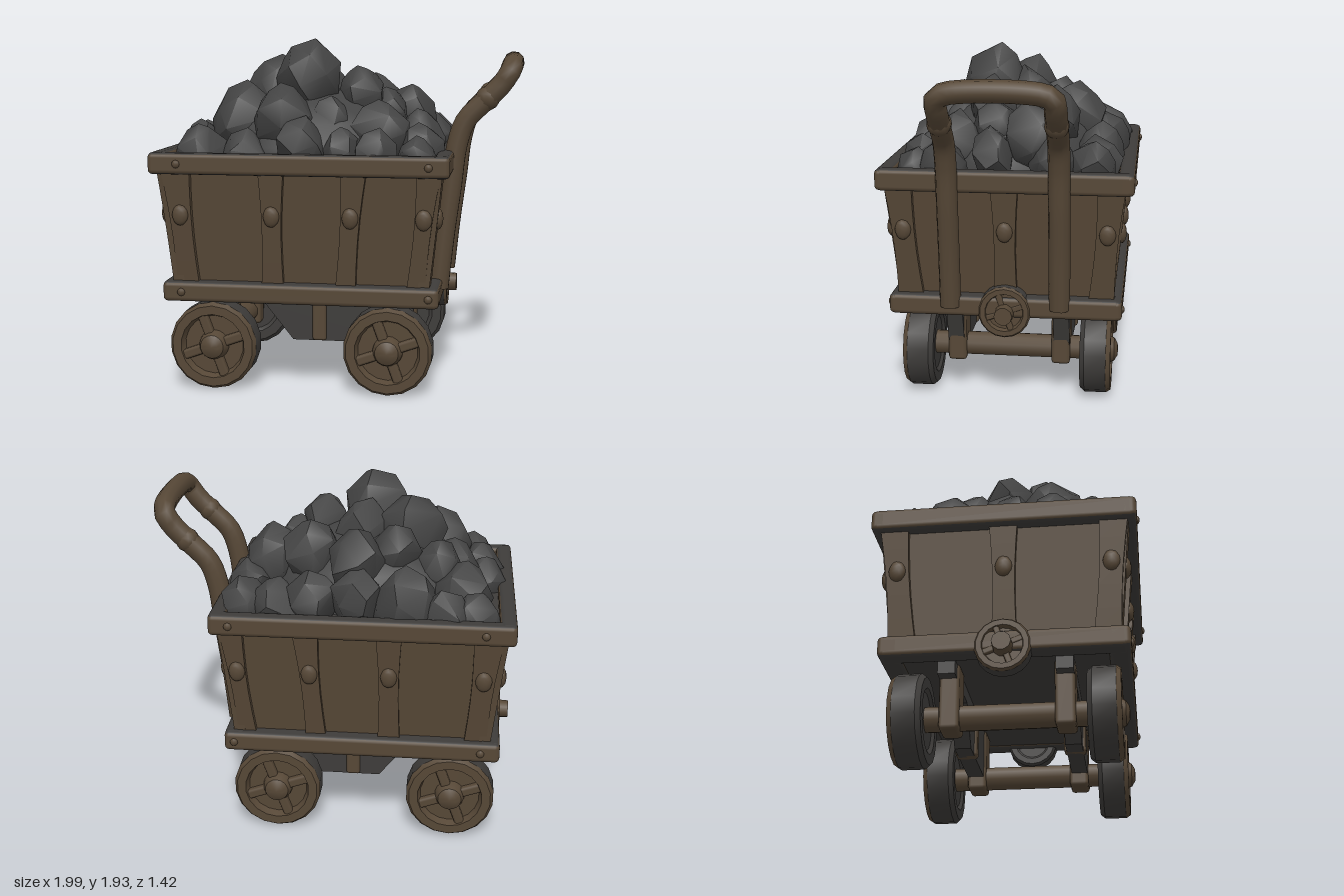
import * as THREE from 'three';
import { toCreasedNormals } from 'three/addons/utils/BufferGeometryUtils.js';
import { RoundedBoxGeometry } from 'three/addons/geometries/RoundedBoxGeometry.js';
import { ConvexGeometry } from 'three/addons/geometries/ConvexGeometry.js';

const CX = -0.175; // middle of the cart body along x
const lerp = THREE.MathUtils.lerp;

export function createModel() {
  const mat = (name, color) => {
    const m = new THREE.MeshStandardMaterial({ color });
    m.name = name;
    return m;
  };
  const wood = mat('brown wood', 0x564736);
  const grime = mat('sooty wood', 0x3e3c3a);
  const coal = mat('coal', 0x434343);

  let seed = 11;
  const rnd = () => (seed = (seed * 16807) % 2147483647) / 2147483647;

  const model = new THREE.Group();
  model.name = 'coalCart';
  const add = (parent, name, geo, material, x = 0, y = 0, z = 0) => {
    const mesh = new THREE.Mesh(geo, material);
    mesh.name = name;
    mesh.position.set(x, y, z);
    parent.add(mesh);
    return mesh;
  };
  const sooty = [wood, wood, grime, grime, wood, wood];

  // Tapered tub filled to just below the rim
  const tub = new THREE.BoxGeometry(1, 1, 1);
  const tp = tub.attributes.position;
  for (let i = 0; i < tp.count; i++) {
    const t = tp.getY(i) + 0.5;
    tp.setXYZ(i, tp.getX(i) * lerp(1.34, 1.48, t), lerp(0.58, 1.275, t), tp.getZ(i) * lerp(1.12, 1.24, t));
  }
  tub.computeVertexNormals();
  add(model, 'tub', tub, sooty, CX);

  // Upright staves leaning with each wall, with a knobby peg on each
  function stave(wall, out0, out1, u0, u1, w0, w1, thick) {
    const g = new THREE.BoxGeometry(1, 1, 1, 1, 5, 1);
    const p = g.attributes.position;
    for (let i = 0; i < p.count; i++) {
      const t = p.getY(i) + 0.5;
      const w = lerp(w0, w1, t) - 0.025 * Math.sin(t * Math.PI);
      const d = p.getZ(i) > 0 ? thick : -0.03;
      p.setXYZ(i, lerp(u0, u1, t) + p.getX(i) * w, lerp(0.6, 1.24, t), lerp(out0, out1, t) + d);
    }
    g.computeVertexNormals();
    add(wall, 'stave', g, wood);
    const t = 0.6;
    const peg = add(wall, 'peg', new THREE.DodecahedronGeometry(0.045, 1), wood,
      lerp(u0, u1, t), 0.985, lerp(out0, out1, t) + thick);
    peg.scale.set(1, 1.3, 0.6);
  }
  for (let k = 0; k < 4; k++) {
    const wall = new THREE.Group();
    wall.name = 'wall';
    wall.position.x = CX;
    wall.rotation.y = k * Math.PI / 2;
    model.add(wall);
    if (k % 2 === 0) {
      const s = k === 0 ? 1 : -1;
      for (const [u0, u1, w0, w1] of [[-0.62, -0.67, 0.12, 0.16], [-0.15, -0.145, 0.12, 0.14],
        [0.25, 0.3, 0.11, 0.14], [0.63, 0.7, 0.1, 0.13]])
        stave(wall, 0.56, 0.62, s * u0, s * u1, w0, w1, 0.032);
    } else {
      for (const s of [-1, 1]) stave(wall, 0.67, 0.74, s * 0.525, s * 0.575, 0.14, 0.15, 0.032);
      stave(wall, 0.67, 0.74, 0, 0, 0.13, 0.15, 0.03);
    }
  }

  // Rectangles of rounded beams: top rim and lower frame
  function beams(name, hx, hz, y, h, w) {
    for (const s of [-1, 1]) {
      add(model, name + 'Side', new RoundedBoxGeometry(hx * 2, h, w, 2, 0.025), sooty, CX, y, s * (hz - w / 2));
      add(model, name + 'End', new RoundedBoxGeometry(w, h * 1.04, hz * 2 - 0.02, 2, 0.025), sooty,
        CX + s * (hx - w / 2), y, 0);
      // nail heads near the corners
      for (const u of [-0.65, 0.7]) {
        const nail = add(model, 'nail', new THREE.SphereGeometry(0.022, 8, 6), wood, CX + u, y, s * hz);
        nail.scale.z = 0.6;
      }
    }
  }
  beams('rim', 0.81, 0.695, 1.268, 0.115, 0.09);
  beams('frame', 0.755, 0.64, 0.56, 0.11, 0.12);
  add(model, 'floor', new THREE.BoxGeometry(1.4, 0.07, 1.16), grime, CX, 0.55, 0);

  // Undercarriage: a drop beam, strut and axle hangers on each side
  const drop = new THREE.Shape([[-0.82, 0.52], [-0.82, 0.44], [-0.42, 0.44], [-0.26, 0.24], [0.36, 0.24], [0.45, 0.52]]
    .map(([x, y]) => new THREE.Vector2(x, y)));
  for (const s of [-1, 1]) {
    add(model, 'dropBeam', new THREE.ExtrudeGeometry(drop, { depth: 0.09, bevelEnabled: false }), grime, 0, 0, s * 0.3 - 0.045);
    add(model, 'strut', new RoundedBoxGeometry(0.08, 0.28, 0.12, 1, 0.015), wood, -0.11, 0.38, s * 0.3);
    for (const x of [-0.67, 0.3])
      add(model, 'axleHanger', new RoundedBoxGeometry(0.17, 0.36, 0.105, 1, 0.02), wood, x, 0.35, s * 0.295);
  }

  // Wheel facing +z: sooty tread, recessed wooden face, spokes and domed hub
  const lathe = (pts) => toCreasedNormals(
    new THREE.LatheGeometry(pts.map(([r, y]) => new THREE.Vector2(r, y)), 18).rotateX(Math.PI / 2), 0.5);
  const tread = lathe([[0, -0.07], [0.15, -0.07], [0.17, -0.085], [0.225, -0.085], [0.245, -0.06], [0.245, 0.06]]);
  const face = lathe([[0.245, 0.06], [0.228, 0.085], [0.18, 0.085], [0.165, 0.04], [0, 0.04]]);
  const hub = lathe([[0.085, 0.03], [0.08, 0.065], [0.065, 0.1], [0.035, 0.118], [0, 0.122]]);
  const spoke = new RoundedBoxGeometry(0.14, 0.055, 0.06, 1, 0.015);
  function wheel(name) {
    const g = new THREE.Group();
    g.name = name;
    add(g, 'tread', tread, grime);
    add(g, 'wheelFace', face, wood);
    add(g, 'hub', hub, wood);
    for (let i = 0; i < 4; i++) {
      const a = 0.35 + i * Math.PI / 2;
      add(g, 'spoke', spoke, wood, Math.cos(a) * 0.12, Math.sin(a) * 0.12, 0.045).rotation.z = a;
    }
    model.add(g);
    return g;
  }
  for (const x of [-0.67, 0.3]) {
    const axle = add(model, 'axle', new THREE.CylinderGeometry(0.068, 0.068, 0.9, 10), wood, x, 0.25, 0);
    axle.rotation.x = Math.PI / 2;
    for (const s of [-1, 1]) {
      const w = wheel('wheel');
      w.position.set(x, 0.245, s * 0.495);
      if (s < 0) w.rotation.y = Math.PI;
    }
  }

  // Round buffers on both ends
  for (const s of [-1, 1]) {
    const b = wheel('buffer');
    b.scale.setScalar(0.59);
    b.position.set(CX + s * 0.715, 0.535, 0);
    b.rotation.y = s * Math.PI / 2;
    const knob = add(model, 'bufferKnob', new THREE.CylinderGeometry(0.05, 0.055, 0.1, 10), wood, CX + s * 0.765, 0.53, 0);
    knob.rotation.z = -s * Math.PI / 2;
  }

  // Push handle: one bent bar from the frame up and across
  const leg = [[0.555, 0.56], [0.585, 0.85], [0.62, 1.12], [0.65, 1.36], [0.695, 1.49], [0.79, 1.59], [0.88, 1.68]];
  const half = (s) => [...leg.map(([x, y]) => new THREE.Vector3(x, y, s * 0.3)),
    new THREE.Vector3(0.93, 1.755, s * 0.295), new THREE.Vector3(0.94, 1.785, s * 0.24)];
  const path = new THREE.CatmullRomCurve3([...half(1), ...half(-1).reverse()], false, 'centripetal');
  add(model, 'handle', new THREE.TubeGeometry(path, 72, 0.059, 10), wood);
  for (const s of [-1, 1]) // knuckles where the handle bends
    add(model, 'handleKnuckle', new THREE.SphereGeometry(0.066, 10, 8), wood, 0.81, 1.61, s * 0.3);

  // Coal heap: hidden core and lumps given as x, z, radius, top height
  const core = add(model, 'coalCore', new THREE.SphereGeometry(1, 16, 10), coal, CX, 1.2, 0.02);
  core.scale.set(0.64, 0.46, 0.54);
  const lumps = [
    [-0.76, -0.5, 0.14, 1.44], [-0.62, -0.53, 0.13, 1.46], [-0.4, -0.5, 0.17, 1.56], [-0.7, -0.3, 0.17, 1.54],
    [-0.82, 0.03, 0.12, 1.46], [-0.63, -0.02, 0.14, 1.58], [-0.4, -0.04, 0.18, 1.84], [-0.33, -0.23, 0.13, 1.72],
    [-0.14, -0.06, 0.16, 1.8], [-0.12, -0.33, 0.17, 1.72], [0.13, -0.22, 0.16, 1.73], [0.1, -0.49, 0.14, 1.53],
    [0.3, -0.49, 0.13, 1.48], [0.47, -0.47, 0.13, 1.48], [0.47, -0.25, 0.12, 1.5], [0.36, -0.13, 0.16, 1.67],
    [0.1, 0.12, 0.14, 1.78], [-0.19, 0.14, 0.19, 1.93], [-0.55, 0.22, 0.19, 1.7], [-0.79, 0.25, 0.13, 1.48],
    [-0.74, 0.45, 0.15, 1.47], [-0.5, 0.46, 0.14, 1.45], [-0.3, 0.37, 0.17, 1.69], [-0.18, 0.5, 0.14, 1.52],
    [-0.05, 0.31, 0.12, 1.62], [0.04, 0.47, 0.12, 1.46], [0.22, 0.3, 0.17, 1.6], [0.43, 0.08, 0.13, 1.54],
    [0.45, 0.35, 0.14, 1.48], [0.22, 0.5, 0.12, 1.46], [-0.14, -0.51, 0.14, 1.55], [0.45, 0.5, 0.1, 1.42],
    [0.24, 0.08, 0.13, 1.66], [-0.56, -0.2, 0.14, 1.63]];
  for (const [x, z, r, top] of lumps) {
    const pts = [new THREE.Vector3((rnd() - 0.5) * r * 0.6, r * 1.22, (rnd() - 0.5) * r * 0.6)];
    for (let i = 0; i < 20; i++) { // jittered spiral of hull points
      const y = 1 - (2 * i + 1) / 20, a = i * 2.4 + rnd() * 0.8, q = Math.sqrt(1 - y * y);
      const k = 0.92 + rnd() * 0.24;
      pts.push(new THREE.Vector3(q * Math.cos(a) * k * r, y * r * 1.15, q * Math.sin(a) * k * r));
    }
    const g = toCreasedNormals(new ConvexGeometry(pts), 0.85);
    g.computeBoundingBox();
    add(model, 'coalLump', g, coal, x, top - g.boundingBox.max.y, z);
  }
  return model;
}
